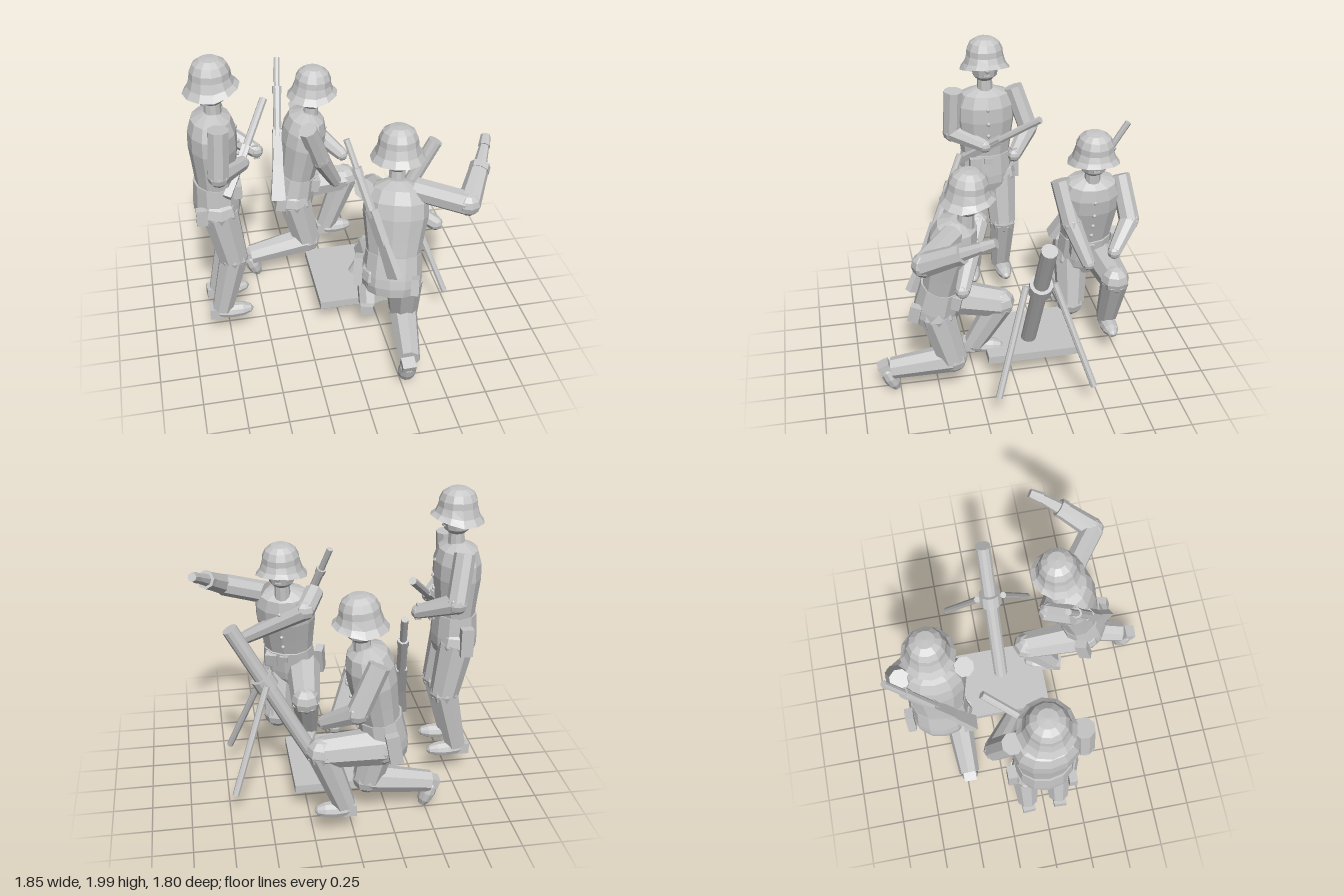
import * as THREE from 'three';

const grey = new THREE.MeshStandardMaterial({ color: 0xc6c6c6, flatShading: true, side: THREE.DoubleSide });
grey.name = 'plain grey';
const V = (p) => new THREE.Vector3(...p);

function add(parent, name, geo, pos = [0, 0, 0]) {
  const m = new THREE.Mesh(geo, grey);
  m.name = name;
  m.position.set(...pos);
  parent.add(m);
  return m;
}

// Lays a geometry that runs along y between points a and b, its x axis towards 'wide'
function lay(parent, name, geo, a, b, wide = [0.31, 0.17, 0.93]) {
  const A = V(a), B = V(b), y = B.clone().sub(A).normalize(), w = V(wide);
  const x = w.addScaledVector(y, -w.dot(y)).normalize();
  const m = add(parent, name, geo);
  m.quaternion.setFromRotationMatrix(new THREE.Matrix4().makeBasis(x, y, x.clone().cross(y)));
  m.position.copy(A.add(B).multiplyScalar(0.5));
  return m;
}
const dist = (a, b) => V(a).distanceTo(V(b));
const rod = (parent, name, a, b, ra, rb = ra, n = 8) =>
  lay(parent, name, new THREE.CylinderGeometry(rb, ra, dist(a, b), n), a, b);
const plank = (parent, name, a, b, w, d, wide) =>
  lay(parent, name, new THREE.BoxGeometry(w, dist(a, b), d), a, b, wide);
const ball = (parent, name, p, r) => add(parent, name, new THREE.SphereGeometry(r, 8, 6), p);
const lathe = (pts, n = 12) => new THREE.LatheGeometry(pts.map((p) => new THREE.Vector2(...p)), n);

// Two tapered segments with a rounded joint between
function limb(parent, name, [a, b, c], [ra, rb, rc]) {
  rod(parent, name + 'Upper', a, b, ra, rb);
  rod(parent, name + 'Lower', b, c, rb * 0.98, rc);
  ball(parent, name + 'Joint', b, rb);
}

// The sleeve starts a little above the shoulder point with a flat end
function arm(parent, name, [a, b, c]) {
  const top = V(a).add(V(a).sub(V(b)).setLength(0.05)).toArray();
  limb(parent, name, [top, b, c], [0.066, 0.068, 0.046]);
  ball(parent, name + 'Hand', c, 0.045);
}

function leg(parent, name, pts, heel, toe, wide) {
  limb(parent, name, pts, [0.12, 0.096, 0.07]);
  ball(parent, name + 'Top', pts[0], 0.12);
  const shoe = new THREE.SphereGeometry(1, 10, 6);
  shoe.scale(0.06, dist(heel, toe) / 2, 0.052);
  lay(parent, name + 'Shoe', shoe, heel, toe, wide);
  const tip = V(heel).lerp(V(toe), 0.3).toArray();
  plank(parent, name + 'Heel', heel, tip, 0.085, 0.075, wide);
}

function torso(parent, pos, yaw, lean) {
  const g = group(parent, 'torso');
  g.position.set(...pos);
  g.rotation.set(lean, yaw, 0, 'YXZ');
  const coat = add(g, 'tunic', lathe([[0, 0.24], [0.17, 0.24], [0.185, 0.36], [0.205, 0.5], [0.2, 0.6], [0.165, 0.68], [0.06, 0.72], [0, 0.72]]));
  coat.scale.z = 0.74;
  const skirt = add(g, 'skirt', lathe([[0, -0.02], [0.165, -0.02], [0.185, 0.04], [0.187, 0.1], [0.175, 0.25], [0, 0.25]]));
  skirt.scale.z = 0.8;
  for (const [y, z] of [[0.6, 0.142], [0.5, 0.152], [0.41, 0.145], [0.32, 0.135]]) ball(g, 'button', [0, y, z], 0.014);
  add(g, 'buckle', new THREE.BoxGeometry(0.055, 0.045, 0.02), [0, 0.22, 0.142]);
  add(g, 'frontPouch', new THREE.BoxGeometry(0.08, 0.09, 0.06), [-0.09, 0.2, 0.12]);
  add(g, 'backPouch', new THREE.BoxGeometry(0.05, 0.11, 0.07), [-0.155, 0.07, -0.11]);
  add(g, 'hipBag', new THREE.BoxGeometry(0.055, 0.19, 0.08), [0.21, 0.11, -0.03]);
}

function head(parent, pos, yaw, lean) {
  const g = group(parent, 'head');
  g.position.set(...pos);
  g.rotation.set(lean, yaw, 0, 'YXZ');
  add(g, 'neck', new THREE.CylinderGeometry(0.048, 0.055, 0.16, 10), [0, 0.04, 0]);
  add(g, 'face', lathe([[0, 0.06], [0.05, 0.06], [0.082, 0.09], [0.092, 0.14], [0.095, 0.22], [0, 0.24]], 10));
  for (const s of [-1, 1]) {
    ball(g, 'eye', [s * 0.035, 0.17, 0.082], 0.011);
    add(g, 'ear', new THREE.BoxGeometry(0.02, 0.045, 0.035), [s * 0.095, 0.145, 0]);
  }
  ball(g, 'nose', [0, 0.15, 0.098], 0.018);
  add(g, 'mouth', new THREE.BoxGeometry(0.04, 0.009, 0.012), [0, 0.11, 0.085]);
  // Helmet with a flared skirt that rises over the face
  const geo = lathe([[0.172, 0.135], [0.142, 0.178], [0.125, 0.235], [0.121, 0.275], [0.1, 0.318], [0.06, 0.345], [0, 0.35]]);
  const p = geo.attributes.position;
  for (let i = 0; i < p.count; i++) {
    const k = Math.max(0, (0.24 - p.getY(i)) / 0.105);
    p.setY(i, p.getY(i) + k * 0.045 * Math.max(0, p.getZ(i) / 0.17));
  }
  geo.computeVertexNormals();
  add(g, 'helmet', geo);
}

// Rifle between muzzle and butt: thin barrel, wooden body and a deep butt stock
function rifle(parent, muzzle, butt, wide) {
  const at = (t) => V(muzzle).lerp(V(butt), t).toArray();
  const g = group(parent, 'rifle');
  rod(g, 'barrel', at(0), at(0.55), 0.021);
  rod(g, 'band', at(0.2), at(0.25), 0.034);
  rod(g, 'foreStock', at(0.24), at(0.55), 0.029);
  plank(g, 'receiver', at(0.5), at(0.75), 0.065, 0.048, wide);
  const stock = new THREE.CylinderGeometry(0.045, 0.07, dist(at(0.7), at(1)), 4);
  stock.rotateY(Math.PI / 4).scale(1, 1, 0.5);
  lay(g, 'buttStock', stock, at(1), at(0.7), wide);
}

function group(parent, name) {
  const g = new THREE.Group();
  g.name = name;
  parent.add(g);
  return g;
}

export function createModel() {
  const root = new THREE.Group();
  root.name = 'mortarCrew';
  const X = [1, 0, 0], Z = [0, 0, 1];

  // Mortar
  const mortar = group(root, 'mortar');
  add(mortar, 'basePlate', new THREE.BoxGeometry(0.48, 0.055, 0.6), [0.095, 0.178, -0.13]);
  rod(mortar, 'tube', [0.155, 0.19, -0.13], [0.69, 1.2, -0.13], 0.05, 0.05, 12);
  rod(mortar, 'collar', [0.462, 0.77, -0.13], [0.505, 0.85, -0.13], 0.074, 0.074, 12);
  for (const s of [-1, 1]) rod(mortar, 'bipodLeg', [0.48, 0.83, -0.13 + s * 0.09], [0.715, 0.18, -0.13 + s * 0.305], 0.022);

  // Standing soldier, facing +x
  const a = group(root, 'standingSoldier');
  torso(a, [-0.77, 0.93, -0.01], Math.PI / 2, 0);
  head(a, [-0.755, 1.65, -0.01], Math.PI / 2, 0);
  for (const s of [-1, 1]) {
    const z = -0.01 + s * 0.108;
    leg(a, s < 0 ? 'leftLeg' : 'rightLeg', [[-0.765, 0.99, z * 0.9], [-0.7, 0.63, z], [-0.795, 0.22, z]], [-0.88, 0.2, z], [-0.59, 0.2, z + s * 0.015], Z);
  }
  arm(a, 'rightArm', [[-0.75, 1.59, 0.21], [-0.765, 1.33, 0.22], [-0.6, 1.28, 0.02]]);
  arm(a, 'leftArm', [[-0.75, 1.59, -0.22], [-0.7, 1.35, -0.3], [-0.49, 1.25, -0.16]]);
  rod(a, 'gunBarrel', [-0.41, 1.53, -0.32], [-0.62, 1.26, 0.02], 0.025);
  plank(a, 'gunBody', [-0.56, 1.34, -0.08], [-0.72, 1.14, 0.17], 0.05, 0.045, X);
  plank(a, 'gunGrip', [-0.5, 1.3, -0.16], [-0.49, 1.2, -0.16], 0.04, 0.04, X);

  // Kneeling soldier behind the mortar, facing +x
  const b = group(root, 'rearKneelingSoldier');
  torso(b, [-0.21, 0.55, -0.59], Math.PI / 2, 0.18);
  head(b, [-0.06, 1.235, -0.59], Math.PI / 2, 0.08);
  leg(b, 'rightLeg', [[-0.2, 0.6, -0.5], [-0.12, 0.265, -0.49], [-0.53, 0.19, -0.48]], [-0.56, 0.22, -0.48], [-0.48, 0.01, -0.48], Z);
  leg(b, 'leftLeg', [[-0.17, 0.62, -0.68], [0.2, 0.62, -0.7], [0.06, 0.23, -0.7]], [-0.01, 0.2, -0.7], [0.25, 0.2, -0.7], Z);
  arm(b, 'rightArm', [[-0.1, 1.18, -0.4], [-0.02, 0.95, -0.45], [0.1, 0.7, -0.545]]);
  arm(b, 'leftArm', [[-0.1, 1.18, -0.8], [0.01, 0.95, -0.835], [0.18, 0.82, -0.69]]);
  rifle(b, [-0.24, 1.54, -0.87], [-0.33, 0.69, -0.39], X);

  // Kneeling soldier with raised arm, facing mostly -z
  const c = group(root, 'frontKneelingSoldier');
  const yaw = THREE.MathUtils.degToRad(160);
  torso(c, [0.25, 0.55, 0.5], yaw, 0.23);
  head(c, [0.315, 1.235, 0.3], yaw, 0.08);
  leg(c, 'rightLeg', [[0.33, 0.6, 0.5], [0.36, 0.265, 0.41], [0.3, 0.19, 0.8]], [0.28, 0.22, 0.86], [0.29, 0.01, 0.77], X);
  leg(c, 'leftLeg', [[0.17, 0.63, 0.45], [0.2, 0.54, 0.07], [0.17, 0.22, 0.24]], [0.14, 0.2, 0.31], [0.21, 0.2, 0.05], X);
  limb(c, 'rightArm', [[0.41, 1.2, 0.4], [0.68, 1.19, 0.6], [0.8, 1.31, 0.41]], [0.075, 0.075, 0.06]);
  rod(c, 'rightCuff', [0.79, 1.3, 0.43], [0.81, 1.32, 0.395], 0.064);
  rod(c, 'rightHand', [0.8, 1.31, 0.41], [0.87, 1.385, 0.28], 0.044, 0.03);
  rod(c, 'rightFingers', [0.865, 1.38, 0.29], [0.895, 1.415, 0.22], 0.038, 0.03);
  arm(c, 'leftArm', [[0.12, 1.19, 0.31], [0.18, 1.14, 0.205], [0.56, 0.9, 0.365]]);
  rifle(c, [0, 1.53, 0.28], [0.235, 0.72, 0.63], [0.5, 0, 0.87]);

  return root;
}
